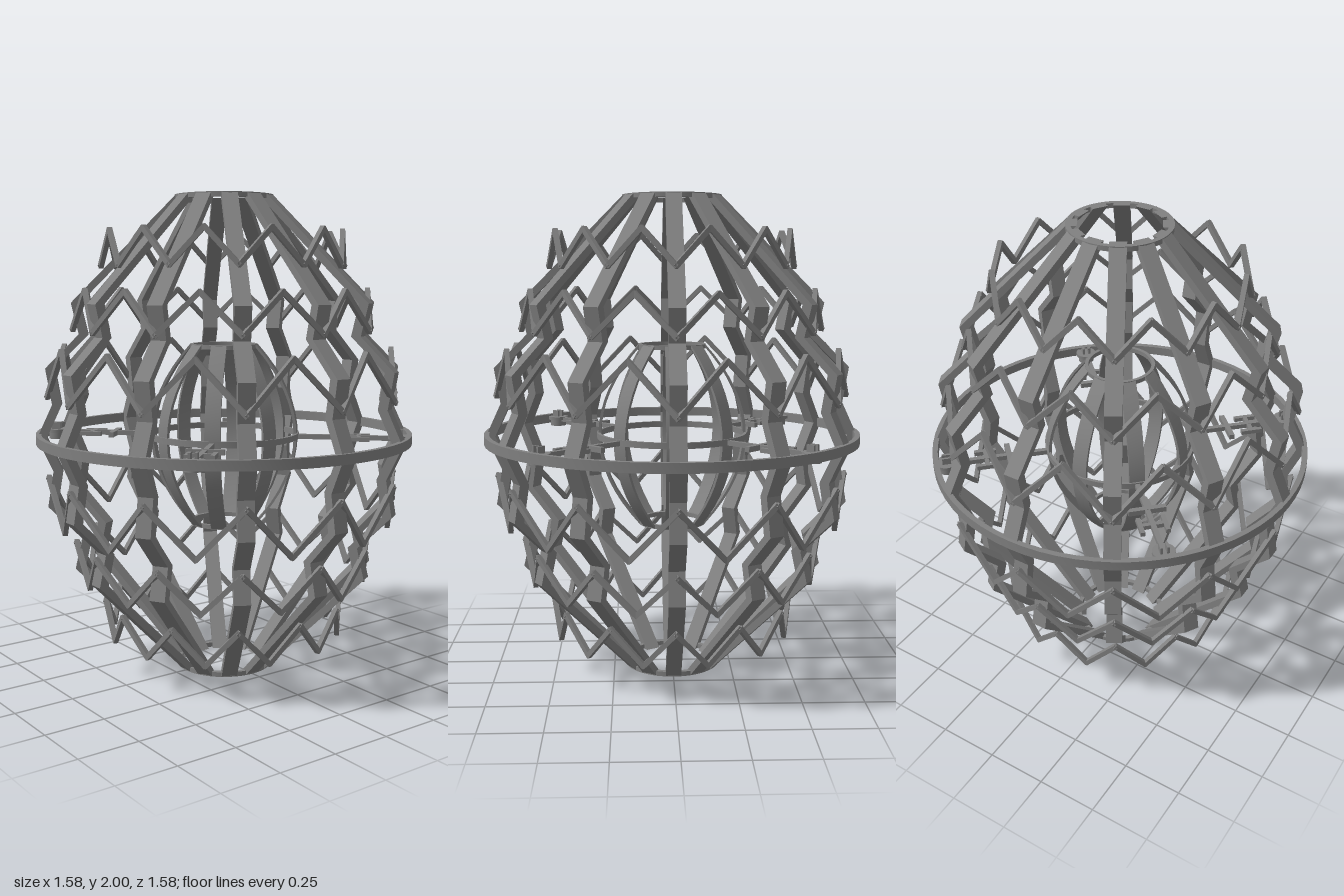
import * as THREE from 'three';
import { toCreasedNormals } from 'three/addons/utils/BufferGeometryUtils.js';

const steel = new THREE.MeshStandardMaterial({ color: 0x808080 });
steel.name = 'steelGrey';

function add(parent, name, geometry) {
  const mesh = new THREE.Mesh(geometry, steel);
  mesh.name = name;
  parent.add(mesh);
  return mesh;
}

// Rectangular-section hoop around the y axis
function hoop(parent, name, inner, outer, y0, y1) {
  const profile = [[inner, y0], [outer, y0], [outer, y1], [inner, y1], [inner, y0]];
  const geo = new THREE.LatheGeometry(profile.map(([r, y]) => new THREE.Vector2(r, y)), 72);
  return add(parent, name, toCreasedNormals(geo, 0.6));
}

// Flat strip following an (r, y) profile, centred on its own plane
function strip(profile, thickness, width) {
  const inner = profile.map(([r, y]) => [r - thickness, y]).reverse();
  const shape = new THREE.Shape([...profile, ...inner].map(([r, y]) => new THREE.Vector2(r, y)));
  return new THREE.ExtrudeGeometry(shape, { depth: width, bevelEnabled: false })
    .translate(0, 0, -width / 2);
}

// Square bar joining two points
function bar(parent, name, a, b, size) {
  const mesh = add(parent, name, new THREE.BoxGeometry(size, size, a.distanceTo(b) + size * 0.6));
  mesh.position.copy(a).add(b).multiplyScalar(0.5);
  mesh.lookAt(b);
  return mesh;
}

const polar = (r, y, angle) => new THREE.Vector3(r * Math.cos(angle), y, r * Math.sin(angle));

export function createModel() {
  const model = new THREE.Group();
  model.name = 'lattice';

  // Twelve notched outer ribs, mirrored about the equator
  const half = [[0.2, 0], [0.635, 0.44], [0.605, 0.57], [0.745, 0.71], [0.72, 0.86]];
  const profile = [...half, [0.785, 1], ...half.map(([r, y]) => [r, 2 - y]).reverse()];
  const ribGeo = strip(profile, 0.04, 0.065);
  const ribs = new THREE.Group();
  ribs.name = 'outerRibs';
  for (let i = 0; i < 12; i++) add(ribs, 'outerRib', ribGeo).rotation.y = i * Math.PI / 6;
  model.add(ribs);

  // Hoops at the equator and both ends
  hoop(model, 'equatorHoop', 0.768, 0.79, 0.98, 1.02);
  hoop(model, 'topHoop', 0.185, 0.205, 1.98, 2);
  hoop(model, 'bottomHoop', 0.185, 0.205, 0, 0.02);

  // Zigzag bands: valley radius and height on a rib, peak radius and height between ribs
  const bands = [[0.51, 1.71, 0.49, 1.85], [0.63, 1.45, 0.595, 1.61], [0.74, 1.17, 0.695, 1.37]];
  for (const [rv, yv, rp, yp] of bands) {
    for (const flip of [false, true]) {
      const band = new THREE.Group();
      band.name = 'zigzagBand';
      for (let i = 0; i < 24; i++) {
        const point = (k) => {
          const y = k % 2 ? yp : yv;
          return polar(k % 2 ? rp : rv, flip ? 2 - y : y, k * Math.PI / 12);
        };
        bar(band, 'zigzagBar', point(i), point(i + 1), 0.02);
      }
      model.add(band);
    }
  }

  // Inner core: eight thin curved ribs and three hoops
  const core = new THREE.Group();
  core.name = 'core';
  const arc = [];
  for (let i = 0; i <= 16; i++) {
    const t = i / 8 - 1;
    arc.push([0.14 + 0.172 * (1 - t * t), 1.003 + 0.383 * t]);
  }
  const coreGeo = toCreasedNormals(strip(arc, 0.012, 0.065), 0.5);
  for (let i = 0; i < 8; i++) add(core, 'coreRib', coreGeo).rotation.y = i * Math.PI / 4;
  hoop(core, 'coreTopHoop', 0.128, 0.142, 1.37, 1.388);
  hoop(core, 'coreBottomHoop', 0.128, 0.142, 0.618, 0.636);
  hoop(core, 'coreMiddleHoop', 0.305, 0.318, 0.99, 1.015);
  model.add(core);

  // Four diagonal spokes with crossbars and a round pad
  for (let i = 0; i < 4; i++) {
    const arm = new THREE.Group();
    arm.name = 'spoke';
    const v = (x, z) => new THREE.Vector3(x, 1, z);
    bar(arm, 'spokeBar', v(0.31, 0), v(0.71, 0), 0.02);
    bar(arm, 'wideCrossbar', v(0.475, -0.07), v(0.475, 0.07), 0.022);
    bar(arm, 'narrowCrossbar', v(0.57, -0.05), v(0.57, 0.05), 0.018);
    for (const z of [-0.05, 0.05]) bar(arm, 'sideBar', v(0.53, z), v(0.61, z), 0.018);
    add(arm, 'pad', new THREE.CylinderGeometry(0.045, 0.045, 0.014, 32)).position.set(0.735, 1.005, 0);
    add(arm, 'padStem', new THREE.CylinderGeometry(0.035, 0.035, 0.03, 32)).position.set(0.735, 0.985, 0);
    for (const z of [-0.013, 0.013]) {
      add(arm, 'padPin', new THREE.BoxGeometry(0.035, 0.03, 0.01)).position.set(0.735, 1.025, z);
    }
    arm.rotation.y = Math.PI / 4 + i * Math.PI / 2;
    model.add(arm);
  }

  return model;
}
